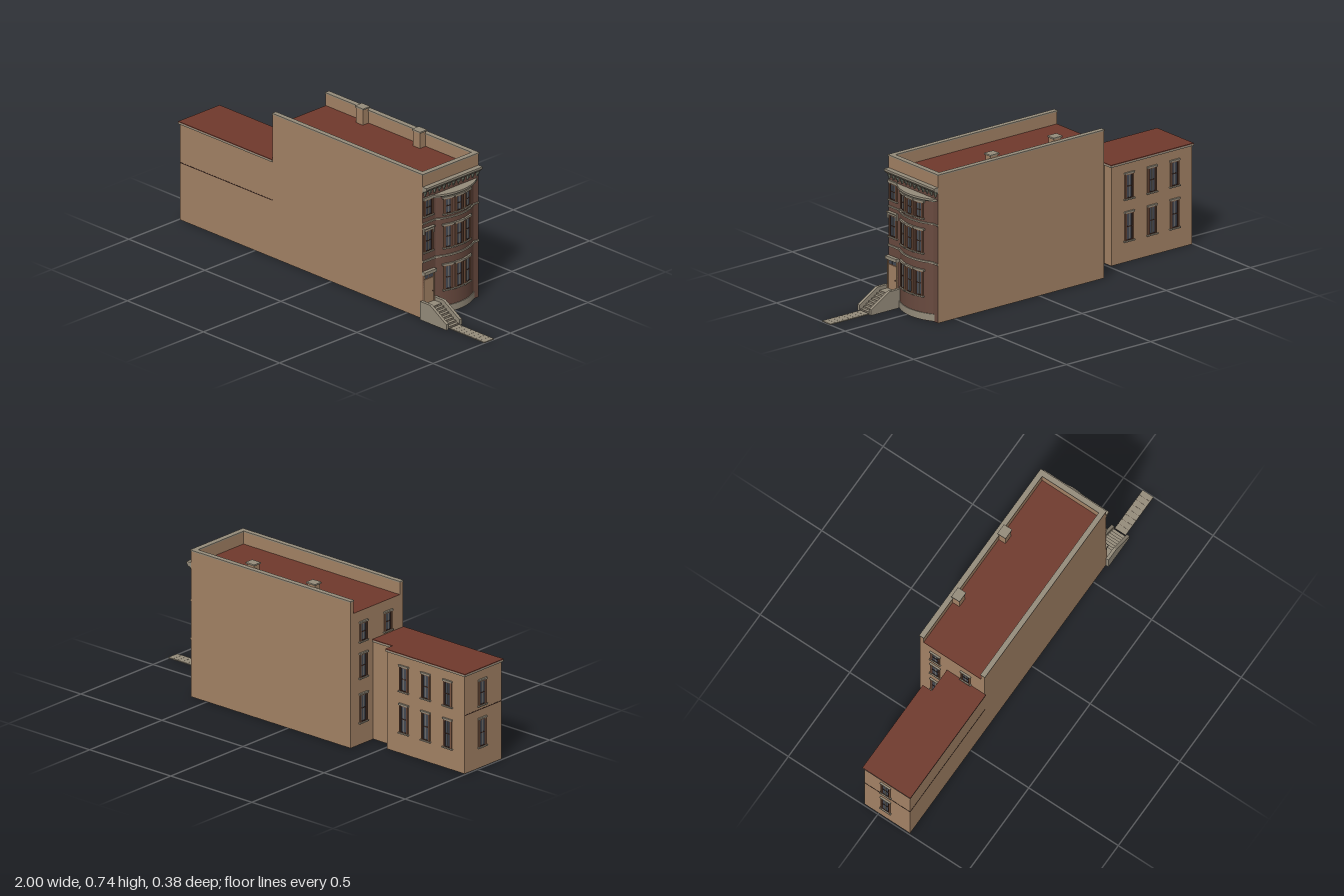
import * as THREE from 'three';

const mat = (name, color, side = THREE.FrontSide) => {
  const m = new THREE.MeshStandardMaterial({ color, side });
  m.name = name;
  return m;
};

export function createModel() {
  const root = new THREE.Group();
  root.name = 'rowHouse';

  const tan = mat('tanWall', 0xa38265, THREE.DoubleSide);
  const brick = mat('brownBrick', 0x694a3f, THREE.DoubleSide);
  const stone = mat('greyStone', 0x958c7b);
  const red = mat('redRoof', 0x70392c);
  const glass = mat('darkGlass', 0x454a54);
  const dark = mat('darkTrim', 0x3d2821);
  const jamb = mat('brownFrame', 0x7a5641);
  const green = mat('greenGreyTrim', 0x6e7365);

  const add = (parent, name, geo, m, x = 0, y = 0, z = 0) => {
    const mesh = new THREE.Mesh(geo, m);
    mesh.name = name;
    mesh.position.set(x, y, z);
    parent.add(mesh);
    return mesh;
  };
  // Box given by its limits
  const box = (name, m, x0, x1, y0, y1, z0, z1, parent = root) =>
    add(parent, name, new THREE.BoxGeometry(x1 - x0, y1 - y0, z1 - z0), m,
      (x0 + x1) / 2, (y0 + y1) / 2, (z0 + z1) / 2);
  // Thin upright walls along a floor path
  const walls = (name, m, path, y0, y1) => {
    for (let i = 1; i < path.length; i++) {
      const [ax, az] = path[i - 1], [bx, bz] = path[i];
      const w = add(root, name, new THREE.PlaneGeometry(Math.hypot(bx - ax, bz - az), y1 - y0), m,
        (ax + bx) / 2, (y0 + y1) / 2, (az + bz) / 2);
      w.rotation.y = -Math.atan2(bz - az, bx - ax);
    }
  };
  // Outline in x,y extruded along z
  const profile = (name, m, pts, z0, z1) => {
    const s = new THREE.Shape(pts.map(p => new THREE.Vector2(...p)));
    add(root, name, new THREE.ExtrudeGeometry(s, { depth: z1 - z0, bevelEnabled: false }), m, 0, 0, z0);
  };

  const F = 0.6, B = -0.385, L = 0.175, R = -0.187;   // main block limits
  const W = -0.993, WZ = -0.08, NX = -0.515, NZ = -0.03; // rear wing limits

  // Main block and rear wing shells, open underneath
  walls('mainSideWall', tan, [[F, R], [B, R]], 0, 0.66);
  walls('mainSideWall', tan, [[B, L], [F, L]], 0, 0.66);
  walls('mainRearWall', tan, [[B, R], [B, NZ]], 0, 0.66);
  walls('mainRearWallUpper', tan, [[B, NZ], [B, L]], 0.48, 0.66);
  walls('frontFacade', brick, [[F, L], [F, R]], 0, 0.66);
  walls('wingWall', tan, [[B, NZ], [NX, NZ], [NX, WZ], [W, WZ], [W, L], [B, L]], 0, 0.486);

  // Main roof, parapets and caps
  box('mainRoof', red, B + 0.001, F - 0.02, 0.645, 0.66, R + 0.01, L - 0.01);
  box('leftParapet', tan, B, F, 0.66, 0.72, L - 0.02, L);
  box('rightParapet', tan, B, F, 0.66, 0.72, R, R + 0.02);
  box('frontParapet', tan, F - 0.02, F, 0.66, 0.72, R + 0.02, L - 0.02);
  box('leftCap', stone, B - 0.002, F + 0.003, 0.72, 0.726, L - 0.023, L + 0.002);
  box('rightCap', stone, B - 0.002, F + 0.003, 0.72, 0.726, R - 0.003, R + 0.023);
  box('frontCap', stone, F - 0.024, F + 0.003, 0.72, 0.726, R + 0.023, L - 0.023);
  for (const x of [-0.125, 0.25]) {
    box('chimney', tan, x - 0.022, x + 0.022, 0.66, 0.737, -0.167, -0.13);
    box('chimneyCap', stone, x - 0.027, x + 0.027, 0.737, 0.744, -0.172, -0.126);
  }

  // Wing roof with stone edge, plus string line
  box('wingEdge', stone, -1, NX + 0.006, 0.482, 0.491, WZ - 0.006, L + 0.006);
  box('wingEdge', stone, NX + 0.006, B, 0.482, 0.491, NZ - 0.006, L + 0.006);
  box('wingRoof', red, -1, NX + 0.006, 0.491, 0.495, WZ - 0.006, L + 0.006);
  box('wingRoof', red, NX + 0.006, B, 0.491, 0.495, NZ - 0.006, L + 0.006);
  box('sideStringLine', dark, W, B, 0.286, 0.29, L, L + 0.001);
  box('rearStringLine', dark, W - 0.001, W, 0.286, 0.29, WZ, L);

  // Bowed bay on the facade
  const bowZ = -0.03, bowR = 0.232, bowX = 0.403;
  const bowHalf = r => Math.acos((F - bowX) / r);
  const bowSlab = (name, m, y0, y1, extra) => {
    const r = bowR + extra, a = bowHalf(r), s = new THREE.Shape();
    for (let i = 0; i <= 24; i++) {
      const t = -a + (2 * a * i) / 24;
      s[i ? 'lineTo' : 'moveTo'](r * Math.cos(t), r * Math.sin(t));
    }
    const g = new THREE.ExtrudeGeometry(s, { depth: y1 - y0, bevelEnabled: false });
    g.rotateX(-Math.PI / 2);
    add(root, name, g, m, bowX, y0, bowZ);
  };
  const half = bowHalf(bowR);
  add(root, 'bayWall', new THREE.CylinderGeometry(bowR, bowR, 0.595, 24, 1, true, Math.PI / 2 - half, 2 * half),
    brick, bowX, 0.2975, bowZ);
  bowSlab('bayBase', stone, 0.003, 0.036, 0.004);
  bowSlab('bayBelt', stone, 0.283, 0.292, 0.006);
  bowSlab('bayBelt', stone, 0.473, 0.48, 0.006);
  bowSlab('bayFrieze', green, 0.586, 0.592, 0.006);
  bowSlab('bayCornice', stone, 0.592, 0.602, 0.014);
  for (const [y0, y1] of [[0.281, 0.29], [0.473, 0.48]]) {
    box('facadeBelt', stone, F, F + 0.006, y0, y1, 0.08, L);
    box('facadeBelt', stone, F, F + 0.006, y0, y1, R, -0.14);
  }

  // Main cornice with brackets
  profile('mainCornice', stone, [[F, 0.64], [0.616, 0.64], [0.626, 0.652], [0.626, 0.662], [F, 0.662]], R, L);
  box('corniceFrieze', green, F, F + 0.006, 0.633, 0.64, R, L);
  for (let i = 0; i < 12; i++) {
    const z = 0.163 - i * 0.0306;
    box('corniceBracket', green, F, F + 0.014, 0.626, 0.64, z - 0.004, z + 0.004);
    box('bracketDrop', green, F, F + 0.008, 0.614, 0.626, z - 0.002, z + 0.002);
  }

  // Sash window, local +z pointing out of the wall, y = bottom of the opening
  const sashWindow = (x, y, z, turn, w, h, headH = 0.01, headW = 0.014) => {
    const g = new THREE.Group();
    g.name = 'window';
    g.position.set(x, y, z);
    g.rotation.y = turn;
    root.add(g);
    const a = w / 2;
    box('glass', glass, -a, a, 0, h, -0.004, 0.002, g);
    for (const s of [-1, 1]) {
      box('jamb', jamb, s * a - 0.0035, s * a + 0.0035, 0, h, -0.004, 0.006, g);
      box('sashStile', dark, s * (a - 0.006) - 0.0025, s * (a - 0.006) + 0.0025, 0, h, -0.003, 0.004, g);
    }
    box('mullion', stone, -0.0014, 0.0014, 0.004, h - 0.004, 0, 0.003, g);
    box('meetingRail', dark, -a, a, h / 2 - 0.002, h / 2 + 0.002, 0, 0.0042, g);
    box('bottomRail', dark, -a, a, 0, 0.005, 0, 0.0042, g);
    box('topRail', jamb, -a, a, h - 0.005, h, 0, 0.0045, g);
    box('sill', stone, -a - 0.008, a + 0.008, -0.006, 0, -0.004, 0.01, g);
    box('lintel', stone, -a - headW, a + headW, h, h + headH, -0.004, 0.009, g);
  };
  const H = Math.PI / 2;
  const rows = [[0.118, 0.12], [0.328, 0.11], [0.498, 0.076]];
  for (const [y, h] of rows)
    for (const z of [0.036, -0.025, -0.085]) {
      const a = Math.asin((z - bowZ) / bowR);
      sashWindow(bowX + bowR * Math.cos(a), y, z, H - a, 0.04, h, 0.01, 0.01);
    }
  sashWindow(F, 0.332, 0.139, H, 0.05, 0.105, 0.015, 0.008);
  sashWindow(F, 0.512, 0.139, H, 0.05, 0.08, 0.013, 0.009);
  box('windowHood', stone, F, F + 0.016, 0.448, 0.453, 0.105, L);
  for (const z of [0.11, 0.168]) box('hoodBracket', stone, F, F + 0.01, 0.42, 0.448, z - 0.004, z + 0.004);

  // Rear and wing windows
  for (const [y, h] of [[0.105, 0.135], [0.31, 0.12]]) {
    for (const x of [-0.62, -0.755, -0.89]) sashWindow(x, y, WZ, Math.PI, 0.046, h, 0.008, 0.006);
    sashWindow(W, y, 0.04, -H, 0.046, h, 0.008, 0.006);
  }
  for (const [y, h, z] of [[0.11, 0.135, -0.1], [0.33, 0.115, -0.1], [0.51, 0.09, -0.1], [0.51, 0.09, 0.07]])
    sashWindow(B, y, z, -H, 0.046, h, 0.008, 0.006);

  // Front door with transom and lintel
  box('doorFrame', jamb, F, F + 0.004, 0.075, 0.22, 0.105, 0.174);
  box('door', tan, F, F + 0.007, 0.075, 0.195, 0.111, 0.168);
  for (const z of [0.126, 0.153]) box('transom', glass, F, F + 0.006, 0.199, 0.214, z - 0.012, z + 0.012);
  for (const z of [0.107, 0.172]) box('doorPost', tan, F, F + 0.01, 0.075, 0.22, z - 0.002, z + 0.002);
  box('doorKnob', dark, F, F + 0.011, 0.124, 0.13, 0.114, 0.117);
  box('doorLintel', stone, F, F + 0.018, 0.22, 0.236, 0.1, 0.178);

  // Stoop: landing, steps and sloped cheek walls
  const n = 8;
  for (let i = 0; i < n; i++) {
    const x0 = i ? 0.655 + (i - 1) * 0.0158 : F;
    box('step', stone, x0, 0.655 + i * 0.0158, 0, 0.075 * (1 - i / n), 0.105, L);
    // Dark shadow joint under each tread
    box('stepJoint', dark, x0, 0.6555 + i * 0.0158, 0.075 * (1 - i / n) - 0.003, 0.075 * (1 - i / n) - 0.0022, 0.106, L - 0.001);
  }
  const cheek = [[F, 0], [0.772, 0], [0.772, 0.028], [0.665, 0.092], [F, 0.092]];
  profile('stoopCheek', stone, cheek, 0.09, 0.105);
  profile('stoopCheek', stone, cheek, L, 0.19);

  // Paved front walk
  for (let i = 0; i < 8; i++) {
    const x = 0.772 + i * 0.0285;
    box('walkSlab', stone, x, x + 0.0277, 0, 0.005, 0.107, 0.168);
  }
  box('walkBed', dark, 0.772, 0.999, 0, 0.004, 0.108, 0.167);
  return root;
}
